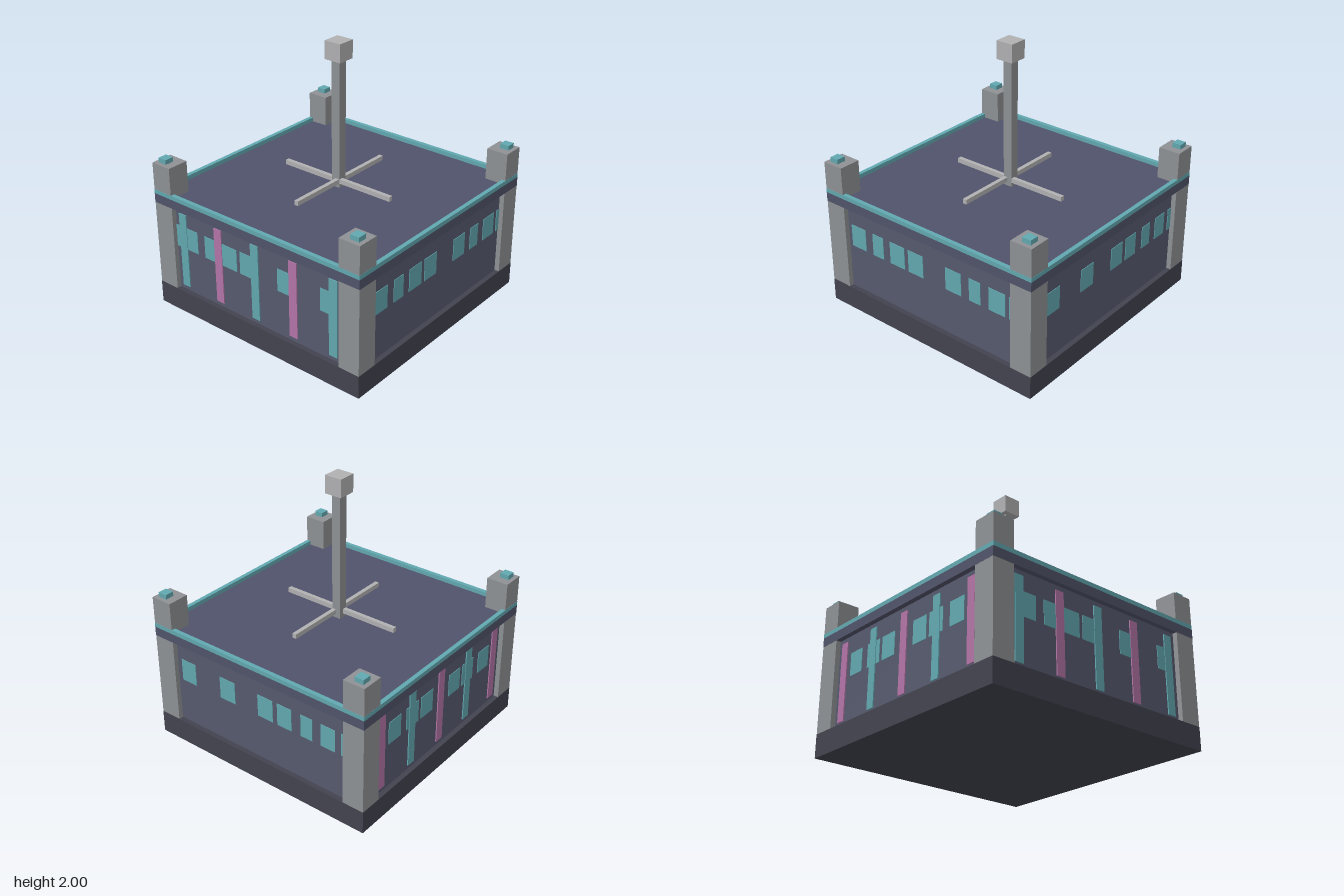
import * as THREE from 'three';

const mat = (color) => new THREE.MeshStandardMaterial({ color });

export function createModel() {
  const model = new THREE.Group();
  const base = mat(0x42434e), wall = mat(0x565a6e), slab = mat(0x50536a);
  const grey = mat(0x8e9194), pale = mat(0xb0b0b2);
  const teal = mat(0x62a8b0), pink = mat(0xb274a6);

  // Box given by its lower and upper limits on each axis
  const box = (name, material, [x0, x1], [y0, y1], [z0, z1], parent = model) => {
    const mesh = new THREE.Mesh(new THREE.BoxGeometry(x1 - x0, y1 - y0, z1 - z0), material);
    mesh.position.set((x0 + x1) / 2, (y0 + y1) / 2, (z0 + z1) / 2);
    mesh.name = name;
    parent.add(mesh);
    return mesh;
  };
  const span = (half, centre = 0) => [centre - half, centre + half];

  // Main body
  const R = 0.93;
  box('foundation', base, span(R), [0, 0.173], span(R));
  box('walls', wall, span(0.892), [0.173, 0.83], span(0.892));
  box('roofSlab', slab, span(R), [0.83, 0.9], span(R));

  // Raised rim around the roof
  for (const s of [-1, 1]) {
    box('roofTrim', teal, span(R), [0.9, 0.932], span(0.016, s * 0.914));
    box('roofTrim', teal, span(0.016, s * 0.914), [0.9, 0.932], span(0.898));
  }

  // Corner pillars with a small lamp on each
  for (const sx of [-1, 1]) {
    for (const sz of [-1, 1]) {
      box('cornerPillar', grey, span(0.084, sx * 0.845), [0.173, 1.14], span(0.084, sz * 0.845));
      box('pillarLamp', teal, span(0.035, sx * 0.862), [1.14, 1.175], span(0.035, sz * 0.862));
    }
  }

  // Facades: windows as [start, end] from left to right, and optional light strips
  const facades = [
    { name: 'frontFacade', turn: 0, strips: [teal, pink],
      windows: [[-0.79, -0.55], [-0.48, -0.34], [-0.31, -0.17], [-0.14, 0], [0.205, 0.34], [0.58, 0.72]] },
    { name: 'rightFacade', turn: Math.PI / 2,
      windows: [[-0.73, -0.59], [-0.52, -0.415], [-0.35, -0.21], [-0.175, -0.035],
        [0.17, 0.31], [0.38, 0.48], [0.55, 0.69], [0.725, 0.79]] },
    { name: 'backFacade', turn: Math.PI,
      windows: [[-0.72, -0.585], [-0.35, -0.21], [0, 0.135], [0.175, 0.3],
        [0.38, 0.48], [0.55, 0.67], [0.72, 0.79]] },
    { name: 'leftFacade', turn: -Math.PI / 2, strips: [pink, teal],
      windows: [[-0.61, -0.475], [-0.41, -0.27], [-0.24, -0.1], [0.1, 0.24], [0.27, 0.41], [0.48, 0.62]] },
  ];
  for (const { name, turn, windows, strips } of facades) {
    const facade = new THREE.Group();
    facade.name = name;
    facade.rotation.y = turn;
    model.add(facade);
    for (const w of windows) box('window', teal, w, [0.52, 0.692], [0.885, 0.896], facade);
    if (strips) {
      for (let i = 0; i < 5; i++) {
        box('lightStrip', strips[i % 2], span(0.035, (i - 2) * 0.345), [0.207, 0.794], [0.885, 0.9], facade);
      }
    }
  }

  // Roof mast with crossed struts and a block on top
  box('mast', grey, span(0.035), [0.9, 1.868], span(0.035));
  box('mastHead', pale, span(0.068), [1.865, 2], span(0.068));
  box('strutAcross', pale, span(0.48), [0.932, 0.967], [0, 0.032]);
  box('strutAlong', pale, [0, 0.032], [0.932, 0.967], span(0.48));

  return model;
}
